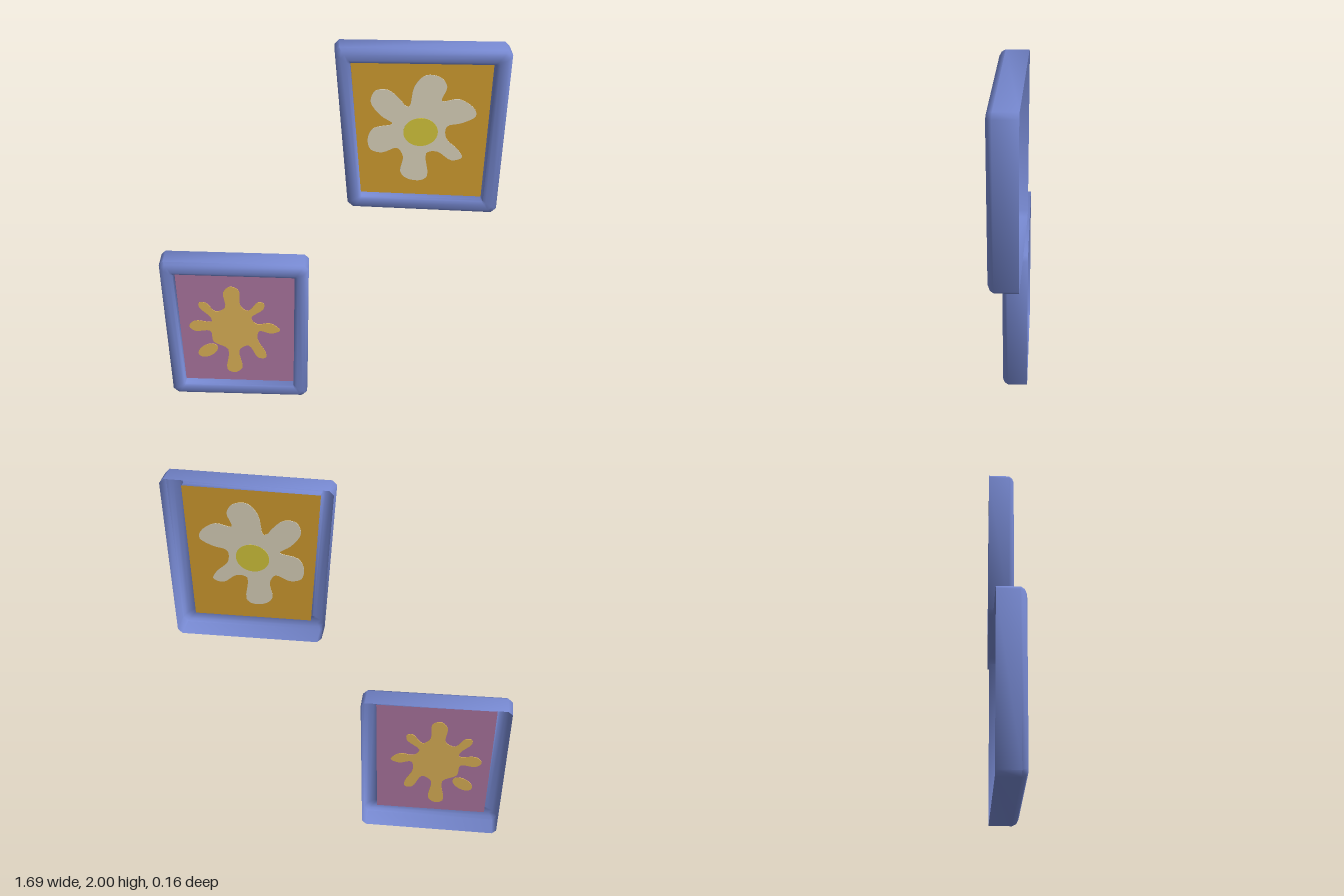
import * as THREE from 'three';
import { toCreasedNormals } from 'three/addons/utils/BufferGeometryUtils.js';

const mat = (name, color, side = THREE.FrontSide) => {
  const m = new THREE.MeshStandardMaterial({ color, side });
  m.name = name;
  return m;
};
const V = (x, y) => new THREE.Vector2(x, y);
const corners = (list) => list.map(([x, y]) => V(x, y));

// Crooked frame: a hollow, open-backed moulding lofted from chamfered four-corner rings
function frameGeometry(outer, inner, back, front, panelZ) {
  // [blend from outer to inner edge, z, corner chamfer]
  const profile = [
    [0, back, 0.022], [0, front - 0.027, 0.022], [0.12, front - 0.009, 0.022], [0.35, front, 0.018],
    [0.75, front, 0.008], [0.93, front - 0.006, 0.004], [1, front - 0.018, 0.003], [1, panelZ, 0.003],
  ];
  const pos = [], index = [];
  for (const [t, z, cut] of profile) {
    const ring = outer.map((p, i) => p.clone().lerp(inner[i], t));
    ring.forEach((p, i) => {
      for (const q of [ring[(i + 3) % 4], ring[(i + 1) % 4]]) {
        const c = q.clone().sub(p).setLength(cut).add(p);
        pos.push(c.x, c.y, z);
      }
    });
  }
  for (let r = 0; r < profile.length - 1; r++) {
    for (let i = 0; i < 8; i++) {
      const a = r * 8 + i, b = r * 8 + (i + 1) % 8;
      index.push(a, a + 8, b, b, a + 8, b + 8);
    }
  }
  const g = new THREE.BufferGeometry();
  g.setAttribute('position', new THREE.Float32BufferAttribute(pos, 3));
  g.setIndex(index);
  return toCreasedNormals(g, 0.9);
}

// Thin plate centred on depth z, so it shows on both sides of the panel
function plate(shape, z, depth) {
  const g = new THREE.ExtrudeGeometry(shape, { depth, bevelEnabled: false, curveSegments: 24 });
  return g.translate(0, 0, z - depth / 2);
}

// Closed smooth outline through points given in hundredths of a unit
function blob(points) {
  const curve = new THREE.CatmullRomCurve3(
    points.map(([x, y]) => new THREE.Vector3(x / 100, y / 100, 0)), true, 'centripetal');
  return new THREE.Shape(curve.getPoints(points.length * 4).slice(0, -1).map((p) => V(p.x, p.y)));
}

function ellipse(x, y, rx, ry, angle = 0) {
  const s = new THREE.Shape();
  s.absellipse(x, y, rx, ry, 0, Math.PI * 2, false, angle);
  return s;
}

const flowerOutline = [
  [39, 171], [41, 181], [46, 186.5], [53, 185.5], [56, 181], [54, 174], [62, 175], [69.5, 170],
  [70, 166.5], [64, 163], [57, 161], [57, 155], [63, 149], [65, 145], [60, 143.5], [53, 148],
  [48, 147], [49, 135], [46, 132.5], [39, 133.5], [36, 137], [37, 145], [34, 149.5], [27, 147],
  [21.5, 148.5], [20, 154], [22.5, 159.5], [31.5, 162], [26, 166], [21, 173], [23, 178.5],
  [29, 179], [35, 174], [37, 171.5],
];
const sunOutline = [
  [-52.5, 56], [-53, 65.5], [-49.5, 69], [-45, 67], [-44.5, 57.5], [-40.5, 54], [-35, 59.5],
  [-32, 58.5], [-32.5, 55], [-39, 49.5], [-36, 45.5], [-29, 46], [-24, 41.5], [-28.5, 39.5],
  [-35, 41], [-36, 35.5], [-32, 27], [-32, 23.5], [-36, 23.5], [-41, 31.5], [-46, 28.5],
  [-45, 16.5], [-49, 13.5], [-53, 15.5], [-52, 29], [-59.5, 34], [-61, 41], [-69, 41], [-72, 44],
  [-69, 47.5], [-60, 47], [-60.5, 50], [-66, 56], [-66, 59], [-62.5, 59], [-57.5, 53.5],
];

export function createModel() {
  const blue = mat('frameBlue', 0x7688d0, THREE.DoubleSide);
  const orange = mat('panelOrange', 0xd8a232, THREE.DoubleSide);
  const pink = mat('panelPink', 0xb078a4, THREE.DoubleSide);
  const cream = mat('petalCream', 0xe2dac2);
  const yellow = mat('flowerYellow', 0xdccd3e);
  const gold = mat('sunGold', 0xe2b65a);

  const pictures = [
    {
      name: 'sunPicture', panel: pink, back: -0.081, front: 0.053, shear: 0.006, midX: -0.46,
      outer: [[-0.847, 0.855], [-0.085, 0.836], [-0.1, 0.003], [-0.828, 0.02]],
      inner: [[-0.775, 0.786], [-0.157, 0.768], [-0.173, 0.073], [-0.758, 0.09]],
      paint: [
        ['sun', sunOutline, gold, 0.006],
        ['detachedRay', ellipse(-0.628, 0.282, 0.058, 0.036, 0.55), gold, 0.006],
      ],
    },
    {
      name: 'flowerPicture', panel: orange, back: -0.067, front: 0.068, shear: 0.036, midX: 0.44,
      outer: [[0.04, 2], [0.843, 2], [0.83, 1.168], [0.11, 1.188]],
      inner: [[0.113, 1.932], [0.767, 1.932], [0.755, 1.24], [0.173, 1.254]],
      paint: [
        ['petals', flowerOutline, cream, 0.006],
        ['flowerCentre', ellipse(0.448, 1.58, 0.081, 0.072), yellow, 0.009],
      ],
    },
  ];

  const model = new THREE.Group();
  model.name = 'framedPictures';
  for (const p of pictures) {
    const group = new THREE.Group();
    group.name = p.name;
    const panelZ = p.front - 0.05;
    const add = (name, geometry, material) => {
      // Slight turn about the vertical: depth drifts with x
      geometry.applyMatrix4(new THREE.Matrix4().set(
        1, 0, 0, 0, 0, 1, 0, 0, p.shear, 0, 1, -p.shear * p.midX, 0, 0, 0, 1));
      const mesh = new THREE.Mesh(geometry, material);
      mesh.name = name;
      group.add(mesh);
    };
    const outer = corners(p.outer), inner = corners(p.inner);
    add('frame', frameGeometry(outer, inner, p.back, p.front, panelZ), blue);
    add('panel', new THREE.ShapeGeometry(new THREE.Shape(inner)).translate(0, 0, panelZ), p.panel);
    for (const [name, outline, material, depth] of p.paint) {
      add(name, plate(Array.isArray(outline) ? blob(outline) : outline, panelZ, depth), material);
    }
    model.add(group);
  }
  return model;
}
